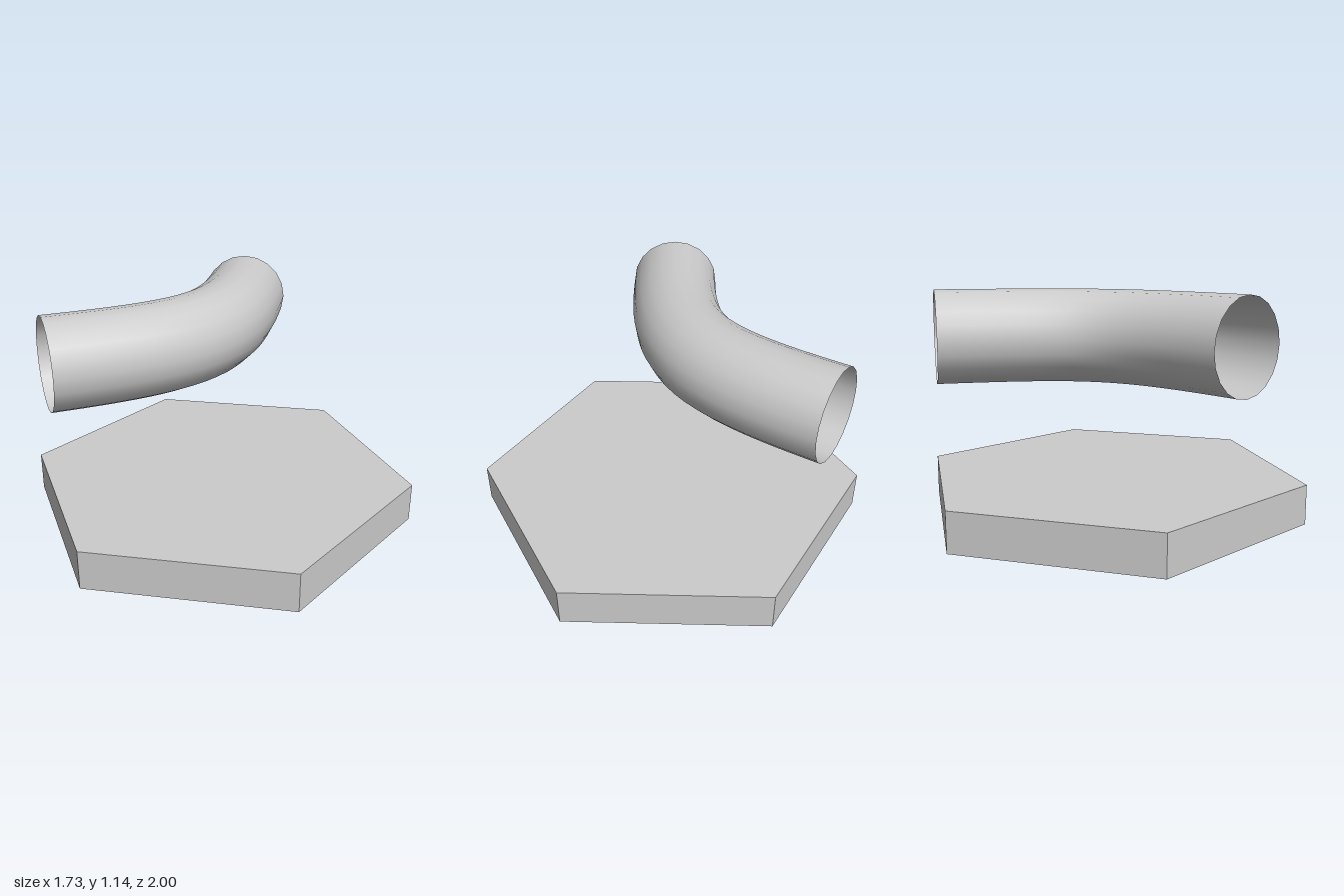
import * as THREE from 'three';

export function createModel() {
  const model = new THREE.Group();
  const apothem = Math.sqrt(3) / 2;

  // hexagonal base tile with corners on the z axis
  const tile = new THREE.Mesh(
    new THREE.CylinderGeometry(1, 1, 0.2, 6),
    new THREE.MeshStandardMaterial({ color: 0xcccccc, flatShading: true })
  );
  tile.name = 'hexTile';
  tile.position.y = 0.1;
  model.add(tile);

  // point above the tile, on the ray through an edge's midpoint
  const onRay = (angle, distance) =>
    new THREE.Vector3(Math.cos(angle) * distance, 0.914, Math.sin(angle) * distance);

  // open pipe bending between two edge midpoints, 120 degrees apart
  const start = Math.PI, end = -Math.PI / 3, bend = 0.11;
  const path = new THREE.CubicBezierCurve3(
    onRay(start, apothem), onRay(start, bend), onRay(end, bend), onRay(end, apothem)
  );
  const pipe = new THREE.Mesh(
    new THREE.TubeGeometry(path, 24, 0.2285, 20, false),
    new THREE.MeshStandardMaterial({ color: 0xcccccc, side: THREE.DoubleSide })
  );
  pipe.name = 'curvedPipe';
  model.add(pipe);

  return model;
}
